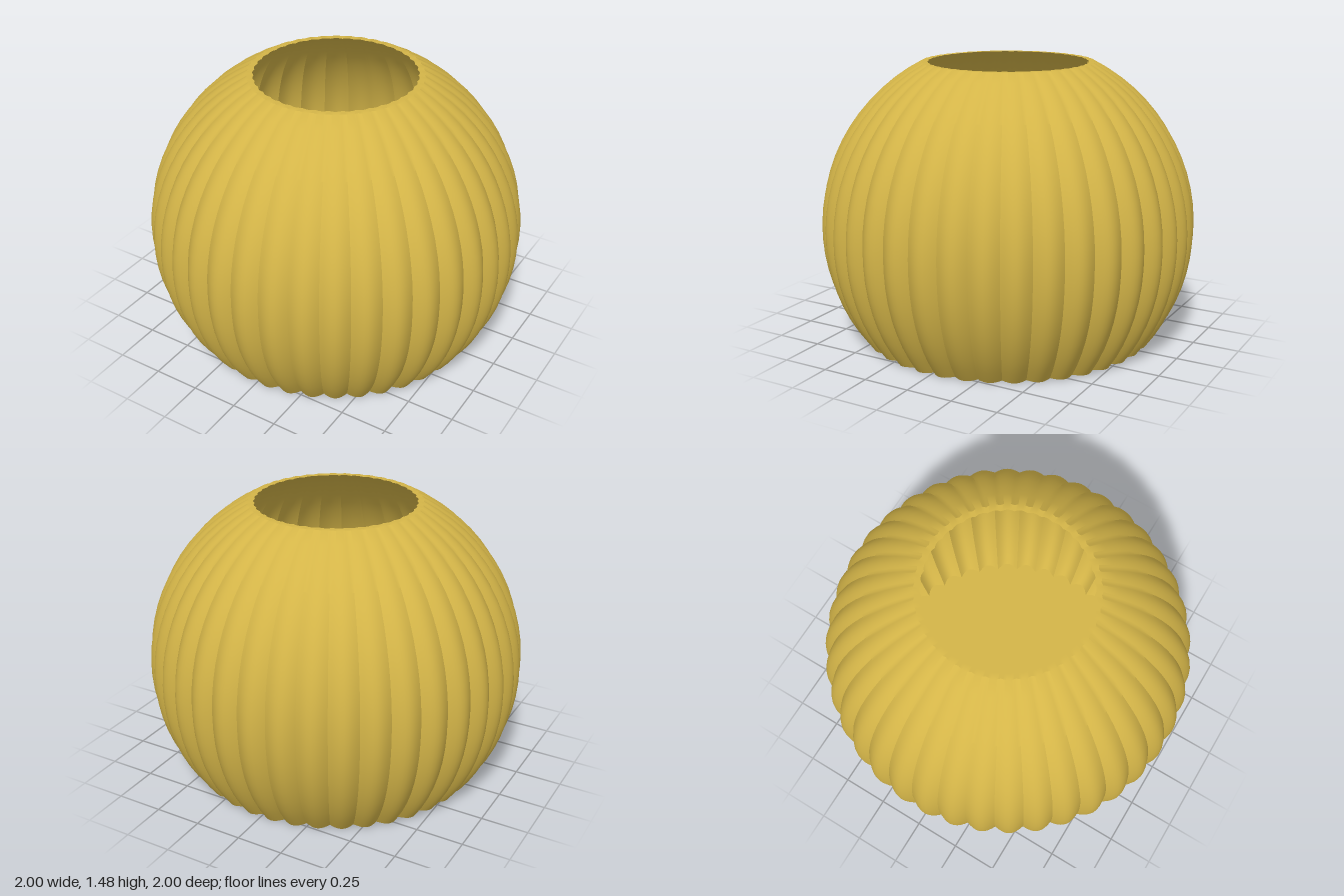
import * as THREE from 'three';
import { toCreasedNormals } from 'three/addons/utils/BufferGeometryUtils.js';

const FLUTES = 40, PER_FLUTE = 8, RINGS = 20;
const HEIGHT = 1.48, WAIST = 0.6, VERTICAL_RADIUS = 0.99;

// One ring of the pot: scale 1 is the outer wall, smaller is the inner wall.
function wallRing(y, scale) {
  const h = (y - WAIST) / VERTICAL_RADIUS;
  const radius = 1.003 * Math.sqrt(scale * scale - h * h);
  // flutes are full depth up to the waist and fade towards the mouth
  const fade = Math.max(0, (y - WAIST) / (HEIGHT - WAIST));
  return { y, radius, depth: THREE.MathUtils.lerp(0.035, 0.008, fade) };
}

// Skin a list of fluted rings, bottom centre -> outside -> rim -> inside -> floor centre.
function flutedSkin(rings) {
  const n = FLUTES * PER_FLUTE, positions = [], index = [];
  for (const { y, radius, depth } of rings) {
    for (let j = 0; j < n; j++) {
      const a = (j / n) * Math.PI * 2;
      const lobe = Math.sin(((j % PER_FLUTE) / PER_FLUTE) * Math.PI);
      const r = Math.max(0, radius - depth * (1 - lobe));
      positions.push(r * Math.sin(a), y, r * Math.cos(a));
    }
  }
  for (let i = 0; i < rings.length - 1; i++) {
    for (let j = 0; j < n; j++) {
      const k = (j + 1) % n;
      const a = i * n + j, b = i * n + k, c = a + n, d = b + n;
      if (rings[i].radius > 0) index.push(a, b, d);
      if (rings[i + 1].radius > 0) index.push(a, d, c);
    }
  }
  const geometry = new THREE.BufferGeometry();
  geometry.setAttribute('position', new THREE.Float32BufferAttribute(positions, 3));
  geometry.setIndex(index);
  return toCreasedNormals(geometry, Math.PI / 6);
}

export function createModel() {
  const group = new THREE.Group();
  group.name = 'flutedPot';

  const inner = 0.985, floor = 0.015;
  const rings = [{ y: 0, radius: 0, depth: 0 }];
  // outer wall, rings spaced evenly by latitude
  const lowAngle = Math.asin(-WAIST / VERTICAL_RADIUS);
  const highAngle = Math.asin((HEIGHT - WAIST) / VERTICAL_RADIUS);
  const heights = [];
  for (let i = 0; i <= RINGS; i++) {
    const t = THREE.MathUtils.lerp(lowAngle, highAngle, i / RINGS);
    heights.push(WAIST + VERTICAL_RADIUS * Math.sin(t));
  }
  for (const y of heights) rings.push(wallRing(y, 1));
  // rim, inner wall and inside floor
  for (const y of heights.reverse()) rings.push(wallRing(Math.max(y, floor), inner));
  rings.push({ y: floor, radius: 0, depth: 0 });

  const pot = new THREE.Mesh(
    flutedSkin(rings),
    new THREE.MeshStandardMaterial({ color: 0xd4b548 })
  );
  pot.name = 'potBody';
  group.add(pot);
  return group;
}
